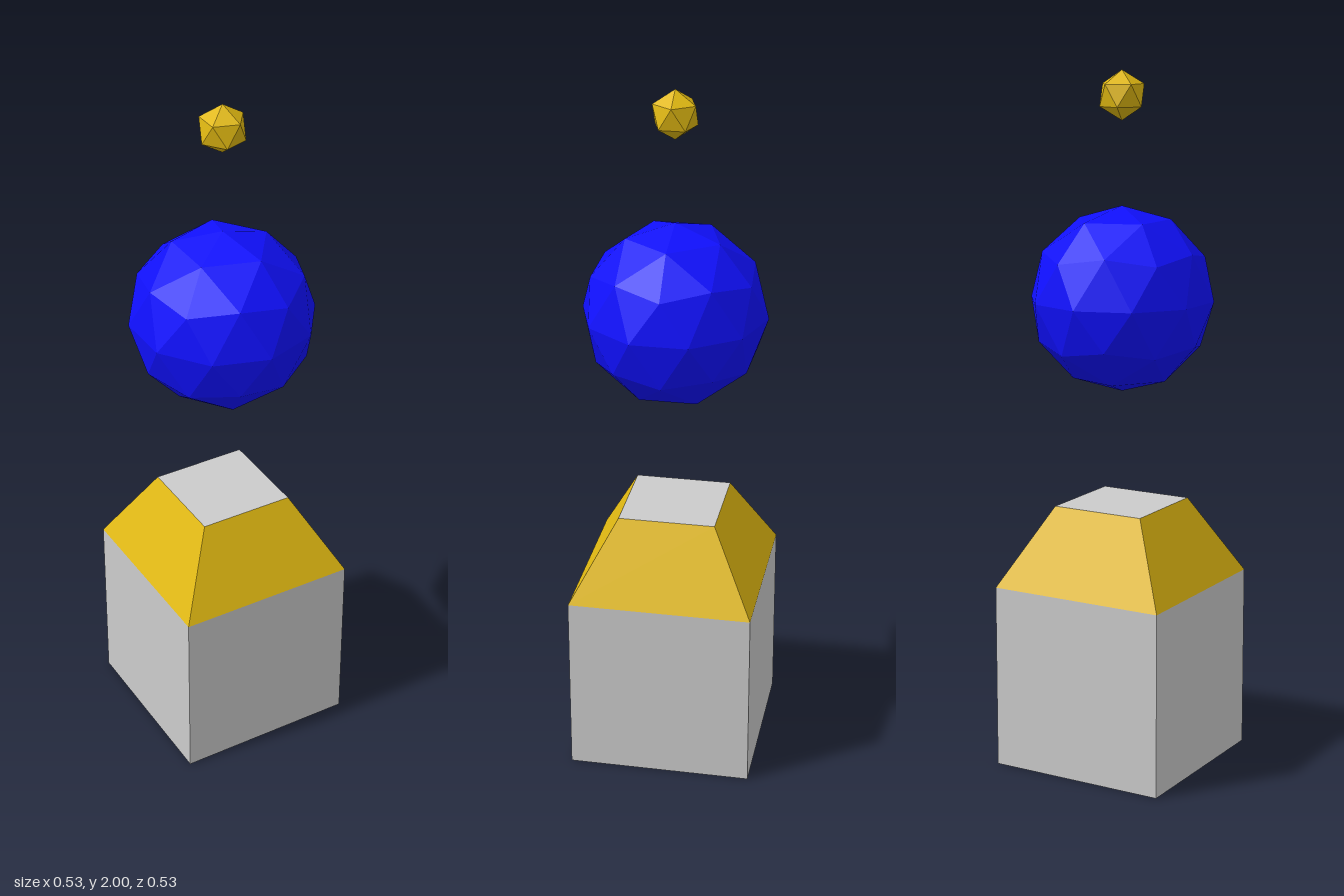
import * as THREE from 'three';

const GREY = 0xcccccc, GOLD = 0xe0b812, BLUE = 0x1010ff;
const HALF = 0.265, BODY_TOP = 0.535, ROOF_TOP = 0.765, ROOF_HALF = 0.14;

export function createModel() {
  const model = new THREE.Group();
  model.name = 'model';

  const add = (name, geometry, color, y) => {
    const material = new THREE.MeshStandardMaterial({ color, flatShading: true });
    const mesh = new THREE.Mesh(geometry, material);
    mesh.name = name;
    mesh.position.y = y;
    model.add(mesh);
  };

  // Four square-set walls without caps, tapering from one half-width to another
  const walls = (topHalf, bottomHalf, height) =>
    new THREE.CylinderGeometry(topHalf * Math.SQRT2, bottomHalf * Math.SQRT2, height, 4, 1, true)
      .rotateY(Math.PI / 4);

  // Horizontal square panel facing up (1) or down (-1)
  const panel = (half, facing) =>
    new THREE.PlaneGeometry(half * 2, half * 2).rotateX(-facing * Math.PI / 2);

  // Faceted ball standing on one of its corners
  const ball = (radius, detail) =>
    new THREE.IcosahedronGeometry(radius, detail)
      .rotateZ(-Math.atan(2 / (1 + Math.sqrt(5))));

  // Base block with tapered roof
  add('baseBottom', panel(HALF, -1), GREY, 0);
  add('baseWalls', walls(HALF, HALF, BODY_TOP), GREY, BODY_TOP / 2);
  add('roofSlopes', walls(ROOF_HALF, HALF, ROOF_TOP - BODY_TOP), GOLD, (BODY_TOP + ROOF_TOP) / 2);
  add('roofTop', panel(ROOF_HALF, 1), GREY, ROOF_TOP);

  // Floating balls
  add('largeBall', ball(0.265, 1), BLUE, 1.358);
  add('smallBall', ball(0.07, 0), GOLD, 1.93);

  return model;
}
